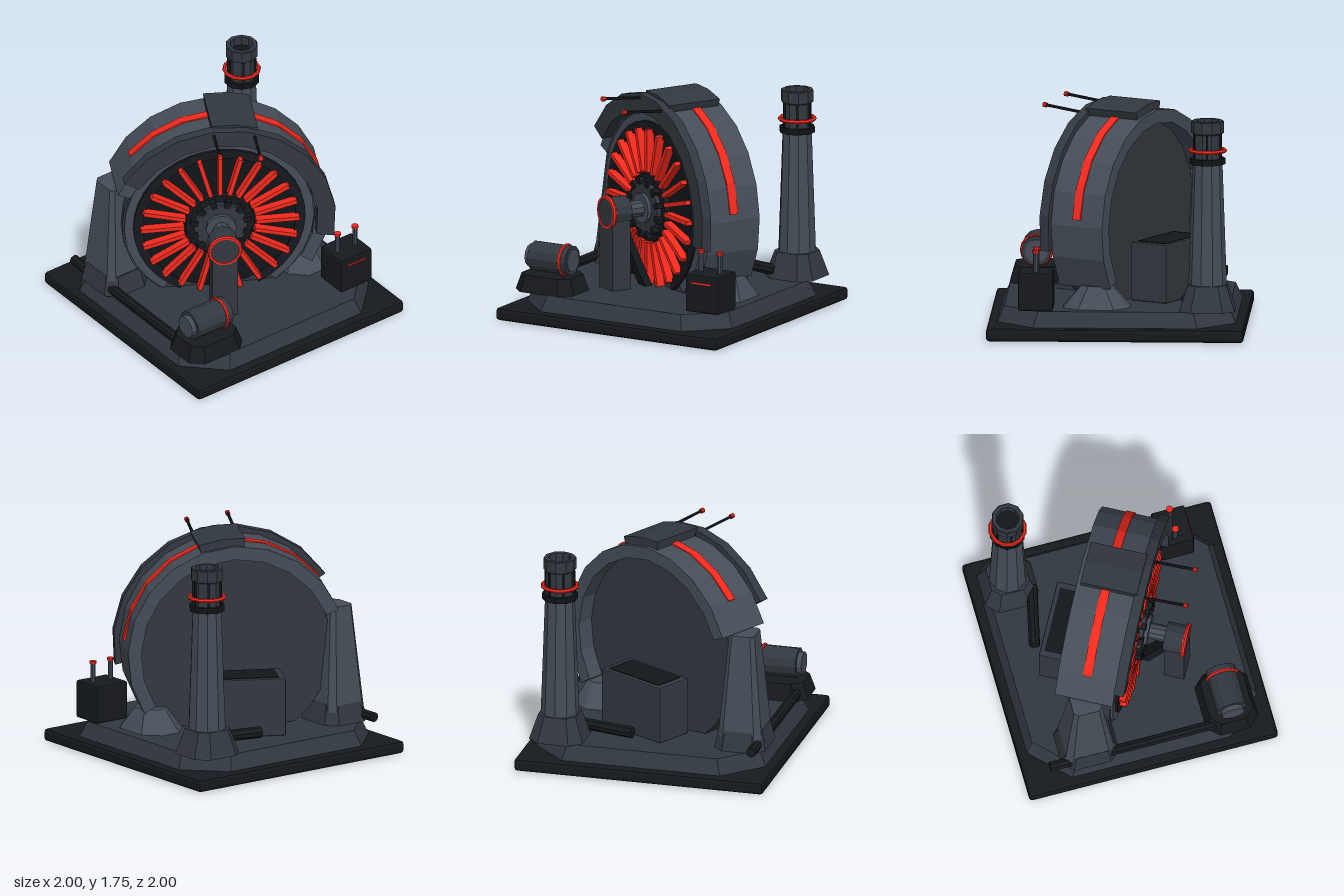
import * as THREE from 'three';
import { RoundedBoxGeometry } from 'three/addons/geometries/RoundedBoxGeometry.js';

const mat = (color) => new THREE.MeshStandardMaterial({ color, flatShading: true });
const STEEL = mat(0x454d57), GREY = mat(0x31383f), DARK = mat(0x16191e), BLACK = mat(0x121519), RED = mat(0xf5291d);
const FLOOR = 0.22;

function add(parent, name, geometry, material, x = 0, y = 0, z = 0) {
  const mesh = new THREE.Mesh(geometry, material);
  mesh.name = name;
  mesh.position.set(x, y, z);
  parent.add(mesh);
  return mesh;
}

// Chamfered block standing on y = 0 whose top is scaled by (sx, sz)
function taper(w, d, c, h, sx, sz = sx) {
  const a = w / 2, b = d / 2;
  const shape = new THREE.Shape([[a, -b + c], [a, b - c], [a - c, b], [-a + c, b], [-a, b - c], [-a, -b + c], [-a + c, -b], [a - c, -b]]
    .map(([x, y]) => new THREE.Vector2(x, y)));
  const g = new THREE.ExtrudeGeometry(shape, { depth: h, bevelEnabled: false }).rotateX(-Math.PI / 2);
  const p = g.attributes.position;
  for (let i = 0; i < p.count; i++) {
    if (p.getY(i) > h / 2) p.setXYZ(i, p.getX(i) * sx, h, p.getZ(i) * sz);
  }
  g.computeVertexNormals();
  return g;
}

// Faceted ring sector from angle a0 to a1 (degrees), z0 to z1
function sector(r0, r1, a0, a1, z0, z1, steps) {
  const at = (r, i) => {
    const a = THREE.MathUtils.degToRad(a0 + (a1 - a0) * i / steps);
    return new THREE.Vector2(r * Math.cos(a), r * Math.sin(a));
  };
  const pts = [];
  for (let i = 0; i <= steps; i++) pts.push(at(r1, i));
  for (let i = steps; i >= 0; i--) pts.push(at(r0, i));
  return new THREE.ExtrudeGeometry(new THREE.Shape(pts), { depth: z1 - z0, bevelEnabled: false }).translate(0, 0, z0);
}

// Cylinder along z from z0 to z1
const drum = (r, z0, z1, n = 24) =>
  new THREE.CylinderGeometry(r, r, z1 - z0, n).rotateX(Math.PI / 2).translate(0, 0, (z0 + z1) / 2);

// Round rod between two points
function rod(parent, name, from, to, r, material, sides = 8) {
  const a = new THREE.Vector3(...from), b = new THREE.Vector3(...to);
  const mesh = add(parent, name, new THREE.CylinderGeometry(r, r, a.distanceTo(b), sides), material);
  mesh.position.copy(a).lerp(b, 0.5);
  mesh.quaternion.setFromUnitVectors(new THREE.Vector3(0, 1, 0), b.sub(a).normalize());
  return mesh;
}

function group(parent, name, x, y, z) {
  const g = new THREE.Group();
  g.name = name;
  g.position.set(x, y, z);
  parent.add(g);
  return g;
}

function buildTurbine(root) {
  const t = group(root, 'turbine', -0.008, 0.83, -0.105);
  t.rotation.y = -0.5;
  const floor = FLOOR - 0.83;

  // Outer casing and its trim
  add(t, 'shell', sector(0.755, 0.86, -32, 158, -0.23, 0.23, 11), STEEL);
  add(t, 'frontFlange', sector(0.765, 0.905, -11, 147, 0.23, 0.31, 9), GREY);
  add(t, 'rightStripe', sector(0.84, 0.87, 6, 72, -0.035, 0.035, 4), RED);
  add(t, 'leftStripe', sector(0.84, 0.87, 92, 141, -0.035, 0.035, 3), RED);
  add(t, 'crownPlate', sector(0.84, 0.92, 71, 94, -0.2, 0.25, 2), GREY);

  // Drum trimmed to the floor, with the rotor face
  const body = drum(0.76, -0.09, 0.2, 28), p = body.attributes.position;
  for (let i = 0; i < p.count; i++) p.setY(i, Math.max(p.getY(i), floor));
  add(t, 'drum', body, GREY);
  add(t, 'drumRim', sector(0.66, 0.745, -54, 234, 0.19, 0.22, 22), STEEL);
  add(t, 'rotorDisc', drum(0.609, 0.19, 0.225, 32), BLACK);
  add(t, 'rotorRim', sector(0.6, 0.675, -63, 243, 0.19, 0.24, 30), DARK);
  for (let i = 0; i < 24; i++) {
    const fin = add(t, 'rotorFin', new THREE.BoxGeometry(0.34, 0.034, 0.07).translate(0.452, 0, 0), RED, 0, 0, 0.255);
    fin.rotation.z = i * Math.PI / 12;
  }

  // Hub, teeth and shaft
  add(t, 'hubPlate', drum(0.27, 0.2, 0.275, 24), DARK);
  add(t, 'hub', drum(0.21, 0.27, 0.31, 16), GREY);
  add(t, 'hubCollar', drum(0.12, 0.3, 0.34, 12), STEEL);
  for (let i = 0; i < 12; i++) {
    const tooth = add(t, 'hubTooth', new THREE.BoxGeometry(0.06, 0.045, 0.05).translate(0.215, 0, 0), DARK, 0, 0, 0.3);
    tooth.rotation.z = (i + 0.5) * Math.PI / 6;
  }
  add(t, 'shaft', drum(0.065, 0.3, 0.52, 10), STEEL);

  // Bearing stand
  add(t, 'bearing', drum(0.118, 0.47, 0.64, 12), GREY, -0.015);
  add(t, 'bearingRing', new THREE.TorusGeometry(0.12, 0.017, 6, 20), RED, -0.015, 0, 0.63);
  add(t, 'pedestal', new THREE.BoxGeometry(0.2, -floor, 0.16), GREY, -0.015, floor / 2, 0.56);
  const brace = add(t, 'brace', new THREE.BoxGeometry(0.1, 0.5, 0.06), DARK, 0.02, floor + 0.21, 0.4);
  brace.rotation.x = 0.42;

  // Rear cabinet
  add(t, 'cabinet', new RoundedBoxGeometry(0.63, 0.46, 0.32, 1, 0.012), GREY, -0.03, floor + 0.23, -0.305);
  add(t, 'cabinetLid', new THREE.BoxGeometry(0.53, 0.02, 0.25), BLACK, -0.03, floor + 0.455, -0.305);

  // Twin antennas on the crown
  for (const [x, y] of [[-0.055, 0.9], [0.265, 0.86]]) {
    rod(t, 'antenna', [x, y - 0.04, 0.22], [x, y, 0.64], 0.012, DARK, 6);
    rod(t, 'antennaTip', [x, y - 0.002, 0.625], [x, y + 0.001, 0.655], 0.02, RED, 8);
  }
}

function buildChimney(root) {
  const c = group(root, 'chimney', 0.707, FLOOR, -0.71);
  const tube = (name, r0, r1, y0, y1, m, n = 10) =>
    add(c, name, new THREE.CylinderGeometry(r1, r0, y1 - y0, n), m, 0, (y0 + y1) / 2 - FLOOR, 0);
  add(c, 'chimneyFoot', taper(0.43, 0.43, 0.09, 0.2, 0.7), GREY);
  tube('stack', 0.15, 0.115, 0.4, 1.4, STEEL);
  tube('collar', 0.14, 0.14, 1.365, 1.41, BLACK);
  tube('neck', 0.114, 0.114, 1.4, 1.62, GREY);
  const ring = add(c, 'chimneyRing', new THREE.TorusGeometry(0.136, 0.016, 6, 12), RED, 0, 1.47 - FLOOR, 0);
  ring.rotation.x = Math.PI / 2;
  for (let i = 0; i < 6; i++) {
    const a = i * Math.PI / 3;
    const fin = add(c, 'neckFin', new THREE.BoxGeometry(0.022, 0.2, 0.016), DARK, 0.11 * Math.cos(a), 1.5 - FLOOR, 0.11 * Math.sin(a));
    fin.rotation.y = -a;
  }
  // Hollow cap
  const cap = [[0.108, 0], [0.128, 0.015], [0.128, 0.105], [0.122, 0.11], [0.092, 0.11], [0.092, 0.03], [0, 0.03]];
  add(c, 'chimneyCap', new THREE.LatheGeometry(cap.map(([x, y]) => new THREE.Vector2(x, y)), 10), GREY, 0, 1.595 - FLOOR, 0);
  tube('flueFloor', 0.09, 0.09, 1.6, 1.635, BLACK);
}

function buildMotor(root) {
  const m = group(root, 'motor', -0.68, FLOOR, 0.67);
  add(m, 'motorBase', taper(0.52, 0.42, 0.09, 0.13, 0.84, 0.82), DARK);
  const body = group(m, 'motorBody', 0, 0.25, 0);
  body.rotation.y = Math.PI / 2;
  add(body, 'motorCase', drum(0.118, -0.16, 0.18, 12), GREY);
  add(body, 'motorCap', drum(0.09, -0.2, 0.19, 12), STEEL);
  add(body, 'motorRing', new THREE.TorusGeometry(0.118, 0.013, 6, 16), RED, 0, 0, 0.125);
}

function buildControlBox(root) {
  const b = group(root, 'controlBox', 0.72, FLOOR, 0.62);
  add(b, 'boxBody', new RoundedBoxGeometry(0.3, 0.3, 0.27, 1, 0.015), DARK, 0, 0.15, 0);
  add(b, 'boxSlit', new THREE.BoxGeometry(0.17, 0.012, 0.02), RED, 0, 0.235, 0.133);
  for (const x of [-0.085, 0.085]) {
    rod(b, 'terminal', [x, 0.29, 0], [x, 0.45, 0], 0.02, STEEL);
    rod(b, 'terminalCap', [x, 0.45, 0], [x, 0.47, 0], 0.028, RED);
  }
}

export function createModel() {
  const root = new THREE.Group();
  root.name = 'generatorStation';

  // Base slab and chamfered plinth
  add(root, 'slab', new RoundedBoxGeometry(2, 0.1, 2, 1, 0.025), DARK, 0, 0.05, 0);
  add(root, 'plinth', taper(1.86, 1.86, 0.29, FLOOR - 0.09, 0.94), GREY, 0, 0.09, 0);

  buildTurbine(root);

  // Supports under both shell ends
  add(root, 'pylonFoot', taper(0.41, 0.46, 0.08, 0.16, 0.84), GREY, -0.715, FLOOR, -0.47);
  add(root, 'pylon', taper(0.35, 0.39, 0.05, 0.82, 0.58), STEEL, -0.715, FLOOR + 0.1, -0.475);
  add(root, 'shellFoot', taper(0.4, 0.52, 0.12, 0.17, 0.55, 0.45), STEEL, 0.595, FLOOR, 0.155);

  buildChimney(root);
  buildMotor(root);
  buildControlBox(root);

  // Floor pipes
  rod(root, 'sidePipe', [-0.855, 0.27, -0.8], [-0.855, 0.27, 0.6], 0.04, DARK);
  rod(root, 'chimneyPipe', [0.14, 0.28, -0.65], [0.62, 0.28, -0.54], 0.045, DARK);
  return root;
}
